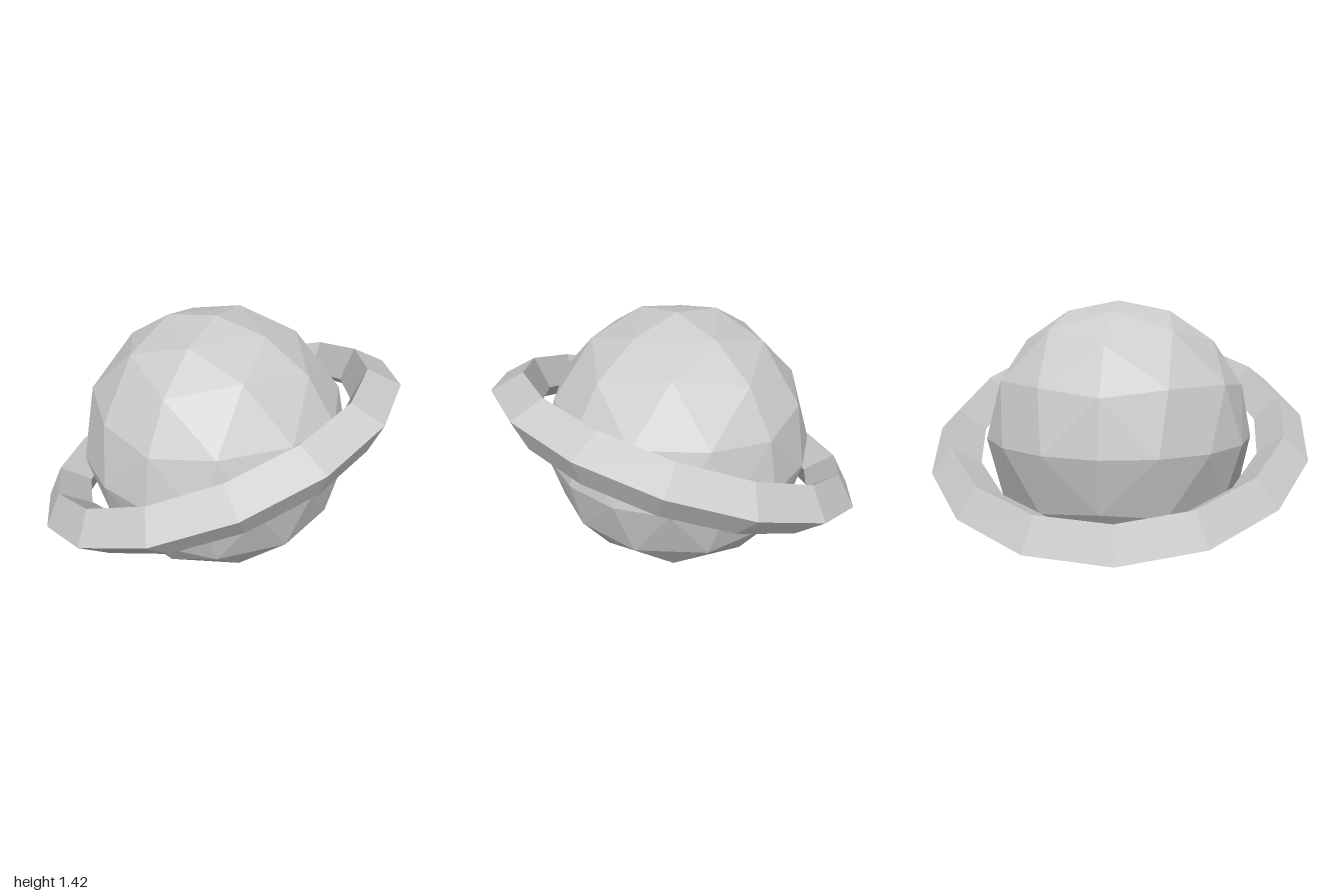
import * as THREE from 'three';

const CENTRE = new THREE.Vector3(0, 0.71, 0.011);

// Octahedral globe whose edges are divided into equal angles
function globeGeometry(radius) {
  const geometry = new THREE.OctahedronGeometry(1, 3);
  const p = geometry.attributes.position;
  const v = new THREE.Vector3();
  for (let i = 0; i < p.count; i++) {
    v.fromBufferAttribute(p, i);
    const sum = Math.abs(v.x) + Math.abs(v.y) + Math.abs(v.z);
    const spread = (c) => Math.sin((c / sum) * Math.PI / 2);
    v.set(spread(v.x), spread(v.y), spread(v.z)).setLength(radius);
    p.setXYZ(i, v.x, v.y, v.z);
  }
  geometry.computeVertexNormals();
  return geometry;
}

export function createModel() {
  const group = new THREE.Group();
  group.name = 'ringedPlanet';
  const material = new THREE.MeshStandardMaterial({ color: 0xcccccc, flatShading: true });

  // Planet body
  const planet = new THREE.Mesh(globeGeometry(0.71), material);
  planet.name = 'planet';

  // Tilted ring with a diamond section, one corner pointing to the back
  const ringGeometry = new THREE.TorusGeometry(0.882, 0.129, 4, 15);
  ringGeometry.rotateX(Math.PI / 2).rotateY(Math.PI / 2);
  const ring = new THREE.Mesh(ringGeometry, material);
  ring.name = 'ring';
  ring.rotation.z = THREE.MathUtils.degToRad(24.4);

  for (const mesh of [planet, ring]) {
    mesh.position.copy(CENTRE);
    group.add(mesh);
  }
  return group;
}
